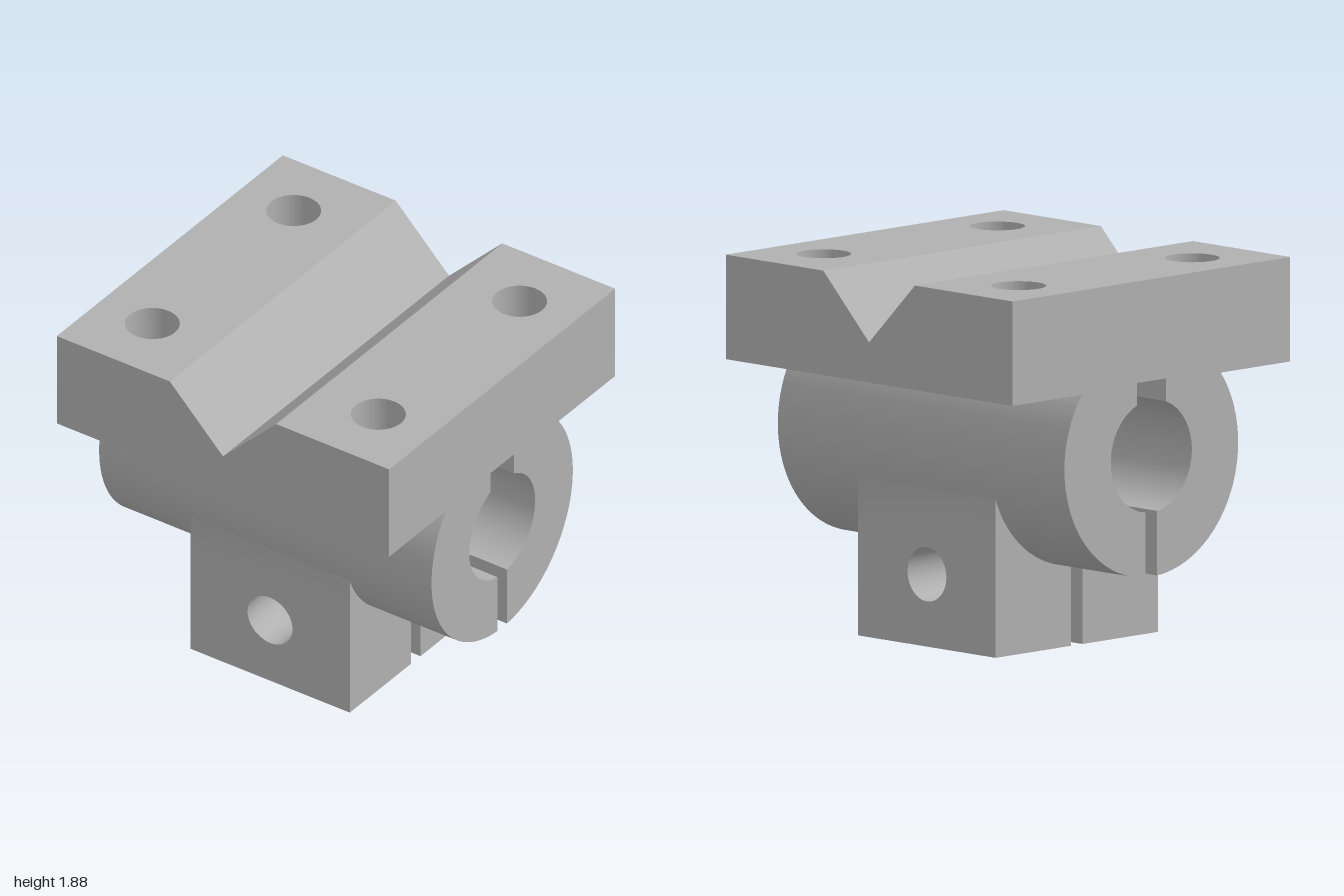
import * as THREE from 'three';
import { toCreasedNormals } from 'three/addons/utils/BufferGeometryUtils.js';

const R = 0.6, BORE = 0.28, CY = 1;      // barrel
const SLIT = 0.04, KEY = 0.1;            // half widths
const HOLE = 0.135, HX = 0.6, HZ = 0.68; // bolt holes
const LUG_X = 0.56, LUG_Z = 0.48, LUG_TOP = 0.56;
const FLOOR = 1.32, UNDER = 1.36, SEAM = 1.4, TOP = 1.88, CORE = 0.4;

export function createModel() {
  const group = new THREE.Group();
  const steel = new THREE.MeshStandardMaterial({ color: 0xb0b0b0 });

  function add(name, geometry) {
    const mesh = new THREE.Mesh(toCreasedNormals(geometry, 0.5), steel);
    mesh.name = name;
    group.add(mesh);
    return mesh;
  }
  const extrude = (shape, depth) =>
    new THREE.ExtrudeGeometry(shape, { depth, bevelEnabled: false, curveSegments: 48 });
  const polygon = (pts) => new THREE.Shape(pts.map(([x, y]) => new THREE.Vector2(x, y)));
  const rect = (x0, y0, x1, y1) => polygon([[x0, y0], [x1, y0], [x1, y1], [x0, y1]]);
  function drill(shape, x, y) {
    const hole = new THREE.Path();
    hole.absarc(x, y, HOLE, 0, Math.PI * 2, true);
    shape.holes.push(hole);
    return shape;
  }

  // Barrel section with bore, keyway and clamping slit
  function barrelShape(withLugs) {
    const s = new THREE.Shape();
    const end = Math.asin((FLOOR - CY) / R);
    const start = withLugs ? -Math.acos(LUG_X / R) : -Math.acos(SLIT / R);
    if (withLugs) {
      s.moveTo(SLIT, LUG_TOP);
      s.lineTo(LUG_X, LUG_TOP);
    }
    s.absarc(0, CY, R, start, end, false);
    s.lineTo(CORE, FLOOR);
    s.lineTo(CORE, SEAM);
    s.lineTo(-CORE, SEAM);
    s.lineTo(-CORE, FLOOR);
    s.absarc(0, CY, R, Math.PI - end, Math.PI - start, false);
    if (withLugs) {
      s.lineTo(-LUG_X, LUG_TOP);
      s.lineTo(-SLIT, LUG_TOP);
    }
    const slit = Math.acos(SLIT / BORE), key = Math.acos(KEY / BORE);
    s.absarc(0, CY, BORE, Math.PI + slit, Math.PI - key, true);
    s.lineTo(-KEY, 1.375);
    s.lineTo(KEY, 1.375);
    s.absarc(0, CY, BORE, key, -slit, true);
    return s;
  }
  add('barrelFront', extrude(barrelShape(false), 1 - LUG_Z).translate(0, 0, LUG_Z));
  add('barrelBack', extrude(barrelShape(false), 1 - LUG_Z).translate(0, 0, -1));
  add('barrelMiddle', extrude(barrelShape(true), 2 * LUG_Z).translate(0, 0, -LUG_Z));

  // Barrel flank under the plate, with the shallow bites left by the bolt holes
  function flankOutline(y) {
    const edge = Math.sqrt(R * R - (y - CY) ** 2);
    const a = Math.acos((HX - edge) / HOLE);
    const pts = [[CORE, -1], [edge, -1]];
    for (const z of [-HZ, HZ]) {
      for (let i = 0; i <= 16; i++) {
        const t = Math.PI + a - (2 * a * i) / 16;
        pts.push([HX + HOLE * Math.cos(t), z + HOLE * Math.sin(t)]);
      }
    }
    pts.push([edge, 1], [CORE, 1]);
    return pts.map(([x, z]) => [x, y, z]);
  }
  function flankGeometry() {
    const low = flankOutline(FLOOR), high = flankOutline(UNDER);
    const pos = [];
    for (let i = 0; i < low.length - 1; i++) {
      pos.push(...low[i], ...high[i], ...low[i + 1]);
      pos.push(...high[i], ...high[i + 1], ...low[i + 1]);
    }
    const g = new THREE.BufferGeometry();
    g.setAttribute('position', new THREE.Float32BufferAttribute(pos, 3));
    return g;
  }

  for (const side of [1, -1]) {
    const label = side > 0 ? 'left' : 'right';
    add(label + 'BarrelFlank', flankGeometry()).rotation.y = side > 0 ? 0 : Math.PI;

    // Clamping lug with its cross hole
    const lug = drill(rect(-LUG_Z, 0, LUG_Z, LUG_TOP), 0, 0.36);
    add(label + 'Lug', extrude(lug, LUG_X - SLIT).rotateY(Math.PI / 2)
      .translate(side > 0 ? SLIT : -LUG_X, 0, 0));

    // Lower layer of the plate beside the barrel
    const strip = rect(Math.min(side * CORE, side * 0.96), -1, Math.max(side * CORE, side * 0.96), 1);
    drill(strip, side * HX, -HZ);
    drill(strip, side * HX, HZ);
    add(label + 'PlateUnderside', extrude(strip, SEAM - UNDER).rotateX(-Math.PI / 2)
      .translate(0, UNDER, 0));

    // Drilled plate block in front of and behind the groove
    const block = side > 0 ? rect(-0.96, 0.32, 0.96, 1) : rect(-0.96, -1, 0.96, -0.32);
    drill(block, HX, side * HZ);
    drill(block, -HX, side * HZ);
    add(side > 0 ? 'backPlateBlock' : 'frontPlateBlock',
      extrude(block, TOP - SEAM).rotateX(-Math.PI / 2).translate(0, SEAM, 0));
  }

  // V-groove across the plate
  const groove = polygon([[-0.32, SEAM], [0.32, SEAM], [0.32, TOP], [0, 1.56], [-0.32, TOP]]);
  add('plateGroove', extrude(groove, 1.92).rotateY(Math.PI / 2).translate(-0.96, 0, 0));

  return group;
}
